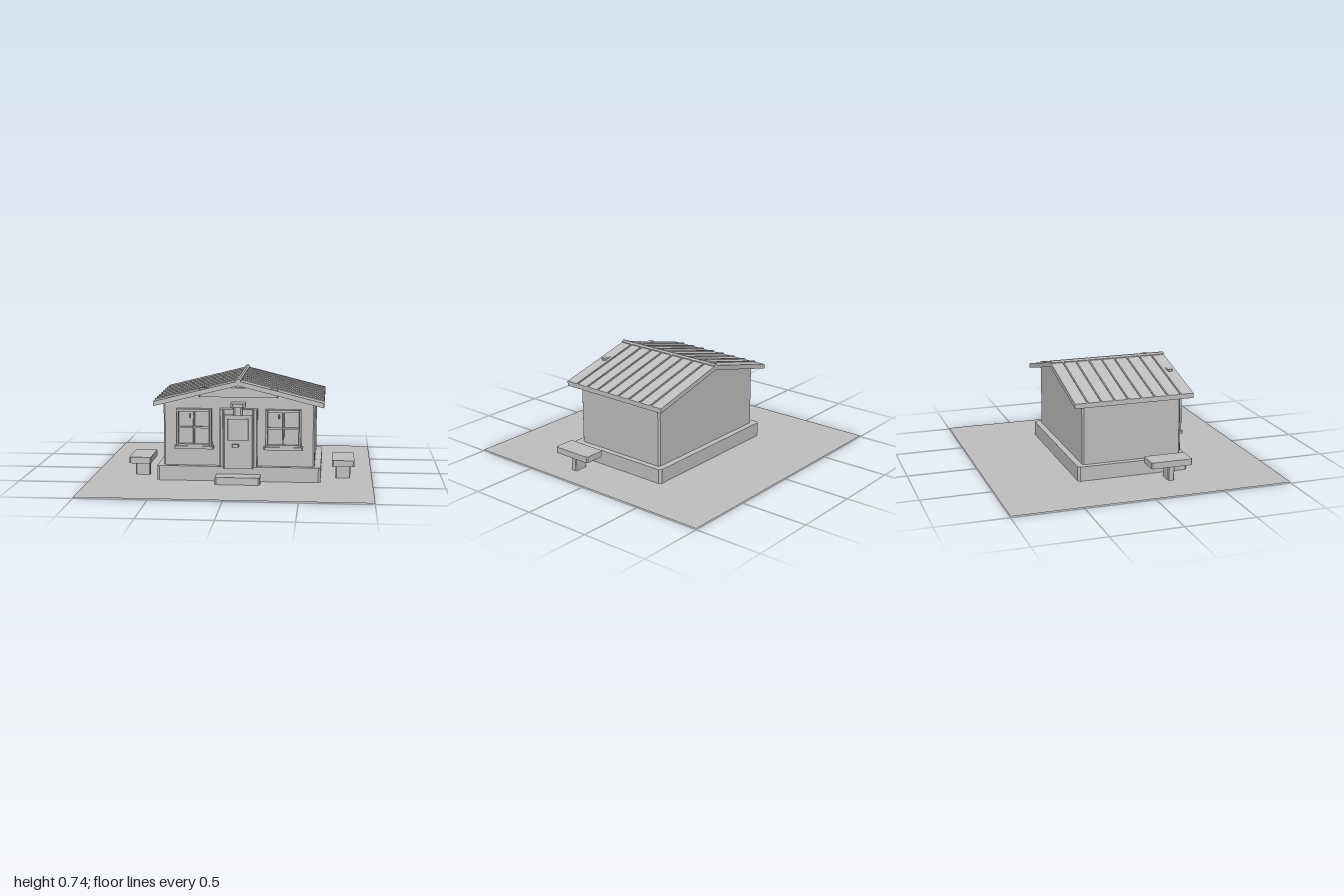
import * as THREE from 'three';

const CX = 0.057; // house centre line
const CZ = 0.015;

export function createModel() {
  const model = new THREE.Group();
  const grey = new THREE.MeshStandardMaterial({ color: 0xbebebe });
  grey.name = 'plain grey';
  grey.side = THREE.DoubleSide;

  function add(parent, name, geometry) {
    const mesh = new THREE.Mesh(geometry, grey);
    mesh.name = name;
    parent.add(mesh);
    return mesh;
  }

  function group(name, parent = model) {
    const g = new THREE.Group();
    g.name = name;
    parent.add(g);
    return g;
  }

  // Box given by its limits, with chamfered upright corners
  function block(parent, name, x0, x1, y0, y1, z0, z1, c = 0.008) {
    const w = (x1 - x0) / 2, d = (z1 - z0) / 2;
    const k = Math.min(c, w * 0.4, d * 0.4);
    const plan = new THREE.Shape([
      [-w + k, -d], [w - k, -d], [w, -d + k], [w, d - k],
      [w - k, d], [-w + k, d], [-w, d - k], [-w, -d + k],
    ].map(([x, z]) => new THREE.Vector2(x, z)));
    const geo = new THREE.ExtrudeGeometry(plan, { depth: y1 - y0, bevelEnabled: false });
    geo.rotateX(-Math.PI / 2);
    geo.translate((x0 + x1) / 2, y0, (z0 + z1) / 2);
    return add(parent, name, geo);
  }

  // Outline in x (from the centre line) and y, extruded from z0 to z1
  function profile(parent, name, points, z0, z1) {
    const shape = new THREE.Shape(points.map(([x, y]) => new THREE.Vector2(x, y)));
    const geo = new THREE.ExtrudeGeometry(shape, { depth: z1 - z0, bevelEnabled: false });
    geo.translate(CX, 0, z0);
    return add(parent, name, geo);
  }

  // Ground
  const ground = new THREE.PlaneGeometry(2, 2);
  ground.rotateX(-Math.PI / 2);
  ground.translate(0, 0.008, 0);
  add(model, 'ground', ground);

  // Foundation, walls with gables, front step
  const house = group('house');
  block(house, 'foundation', CX - 0.578, CX + 0.578, 0.009, 0.113, CZ - 0.41, CZ + 0.405, 0.016);
  block(house, 'walls', CX - 0.535, CX + 0.535, 0.113, 0.556, CZ - 0.365, CZ + 0.365, 0.012);
  profile(house, 'gables', [[-0.53, 0.55], [0.53, 0.55], [0.53, 0.558], [0, 0.69], [-0.53, 0.558]],
    CZ - 0.365, CZ + 0.365);
  block(house, 'frontStep', -0.1, 0.215, 0, 0.06, 0.395, 0.54, 0.012);

  // Roof slopes with raised seams
  const roof = group('roof');
  const slope = (base, edge) => [[0, 0.726 + base], [edge, 0.726 + base - 0.25 * Math.abs(edge)]];
  for (const side of [-1, 1]) {
    const edge = 0.598 * side;
    const band = (low, high) => [...slope(low, edge), ...slope(high, edge).reverse()];
    profile(roof, 'roofSlope', band(-0.034, 0), -0.42, 0.45);
    for (let i = 0; i < 8; i++) {
      const z = -0.33 + i * 0.0974;
      profile(roof, 'roofSeam', band(-0.002, 0.008), z - 0.005, z + 0.005);
    }
  }
  const ridge = new THREE.CylinderGeometry(0.019, 0.019, 0.87, 8).toNonIndexed();
  ridge.computeVertexNormals();
  ridge.rotateZ(0);
  ridge.rotateY(Math.PI / 8);
  ridge.rotateX(Math.PI / 2);
  ridge.translate(CX, 0.721, CZ);
  add(roof, 'ridgeCap', ridge);
  block(roof, 'gableBeam', CX - 0.276, CX + 0.276, 0.607, 0.674, 0.385, 0.42, 0.013);

  // Door with jambs, window, letter slot and lamp
  const door = group('door');
  block(door, 'doorLeaf', -0.046, 0.162, 0.103, 0.487, 0.37, 0.447);
  block(door, 'doorJamb', -0.075, -0.046, 0.113, 0.524, 0.37, 0.435);
  block(door, 'doorJamb', 0.162, 0.19, 0.113, 0.524, 0.37, 0.435);
  block(door, 'doorHeader', -0.05, 0.166, 0.487, 0.524, 0.37, 0.433);
  block(door, 'doorWindow', -0.015, 0.131, 0.308, 0.46, 0.44, 0.458, 0.004);
  block(door, 'letterSlot', 0.015, 0.062, 0.26, 0.281, 0.44, 0.471, 0.004);
  block(door, 'lampBody', 0.026, 0.088, 0.487, 0.547, 0.37, 0.468, 0.012);
  block(door, 'lampCap', 0.005, 0.109, 0.545, 0.57, 0.37, 0.487, 0.018);

  // Windows
  for (const cx of [CX - 0.315, CX + 0.315]) {
    const win = group('window');
    const y0 = 0.257, y1 = 0.521, w = 0.126;
    block(win, 'windowPane', cx - w, cx + w, y0, y1, 0.37, 0.4, 0.002);
    for (const s of [-1, 1]) {
      const x = cx + s * (w - 0.009);
      block(win, 'windowStile', x - 0.009, x + 0.009, y0, y1, 0.37, 0.427, 0.005);
    }
    block(win, 'windowTopRail', cx - w + 0.01, cx + w - 0.01, y1 - 0.018, y1, 0.37, 0.424, 0.002);
    block(win, 'windowBottomRail', cx - w + 0.01, cx + w - 0.01, y0, y0 + 0.016, 0.37, 0.424, 0.002);
    block(win, 'windowMullion', cx - 0.006, cx + 0.006, y0, y1, 0.37, 0.418, 0.004);
    block(win, 'windowCrossBar', cx - w + 0.01, cx + w - 0.01, 0.384, 0.396, 0.37, 0.414, 0.002);
    block(win, 'windowHandle', cx - 0.034, cx - 0.025, 0.458, 0.486, 0.39, 0.42, 0.002);
    block(win, 'windowSill', cx - 0.137, cx + 0.137, 0.238, 0.259, 0.37, 0.434, 0.006);
  }

  // Benches on either side
  for (const [name, cx] of [['rightBench', -0.651], ['leftBench', 0.793]]) {
    const bench = group(name);
    block(bench, 'benchSeat', cx - 0.078, cx + 0.078, 0.115, 0.16, 0.07, 0.372, 0.008);
    block(bench, 'benchLeg', cx - 0.052, cx + 0.052, 0.009, 0.115, 0.204, 0.25, 0.006);
  }

  return model;
}
